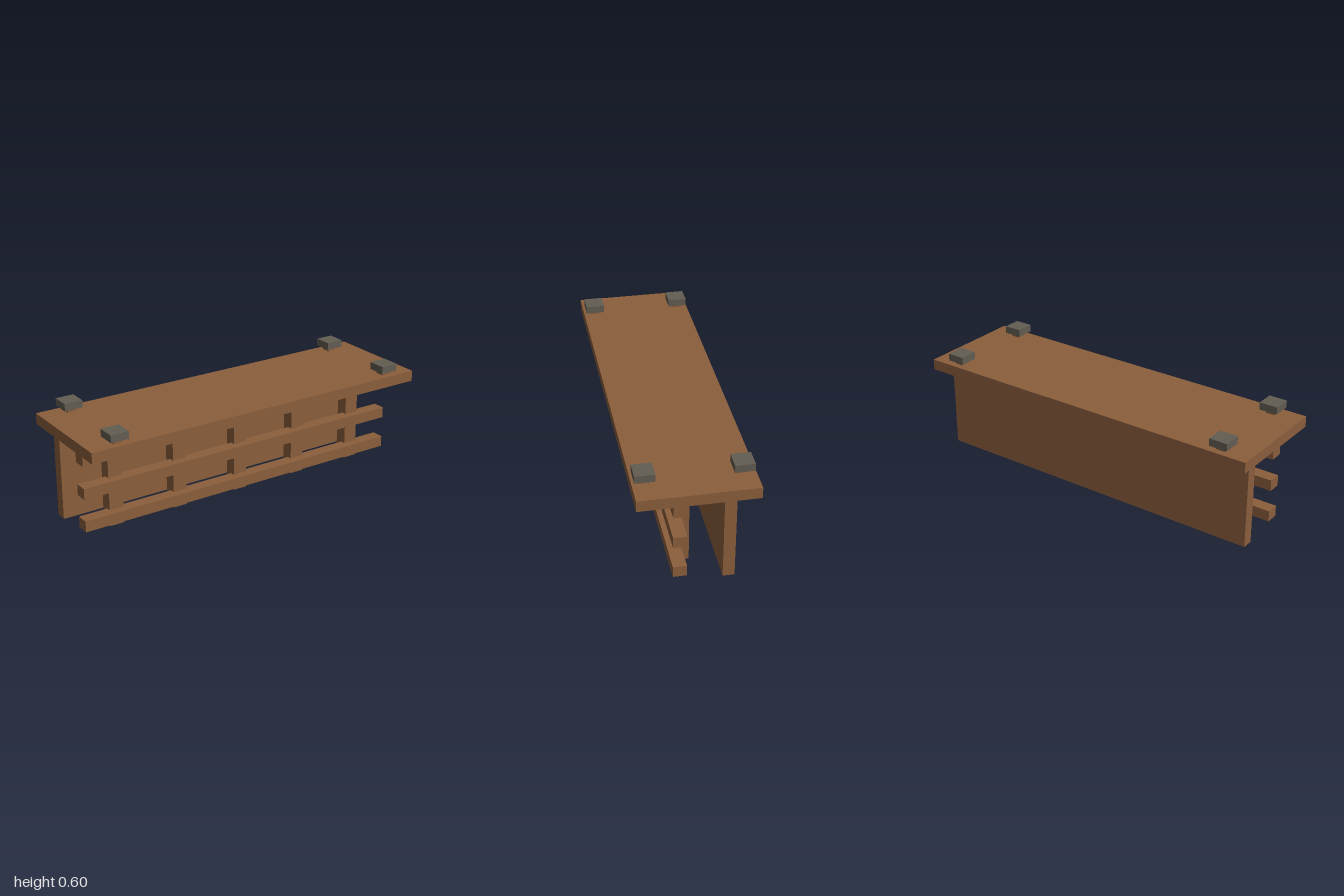
import * as THREE from 'three';

export function createModel() {
  const model = new THREE.Group();
  model.name = 'counter';

  const wood = new THREE.MeshStandardMaterial({ color: 0x8b5e3c });
  wood.name = 'brown wood';
  const stone = new THREE.MeshStandardMaterial({ color: 0x625d52 });
  stone.name = 'dark grey';

  // Box given by its x centre and width, and its y and z ranges
  function box(name, material, x, width, [y0, y1], [z0, z1]) {
    const mesh = new THREE.Mesh(new THREE.BoxGeometry(width, y1 - y0, z1 - z0), material);
    mesh.position.set(x, (y0 + y1) / 2, (z0 + z1) / 2);
    mesh.name = name;
    model.add(mesh);
  }

  // Top slab and solid back wall
  box('tabletop', wood, 0, 2, [0.482, 0.541], [-0.3, 0.3]);
  box('backPanel', wood, 0, 1.92, [0, 0.482], [-0.19, -0.13]);

  // Row of front posts
  for (let i = -2; i <= 2; i++) {
    box('post', wood, i * 0.38, 0.08, [0, 0.482], [0.007, 0.075]);
  }

  // Horizontal rails let into the posts
  for (const y of [0.06, 0.24, 0.42]) {
    box('rail', wood, 0, 1.92, [y - 0.03, y + 0.03], [0.048, 0.118]);
  }

  // Capped pegs at the four corners of the top
  for (const x of [-0.84, 0.84]) {
    for (const z of [-0.24, 0.24]) {
      box('peg', wood, x, 0.05, [0.541, 0.562], [z - 0.025, z + 0.025]);
      box('pegCap', stone, x, 0.1, [0.562, 0.602], [z - 0.05, z + 0.05]);
    }
  }

  return model;
}
